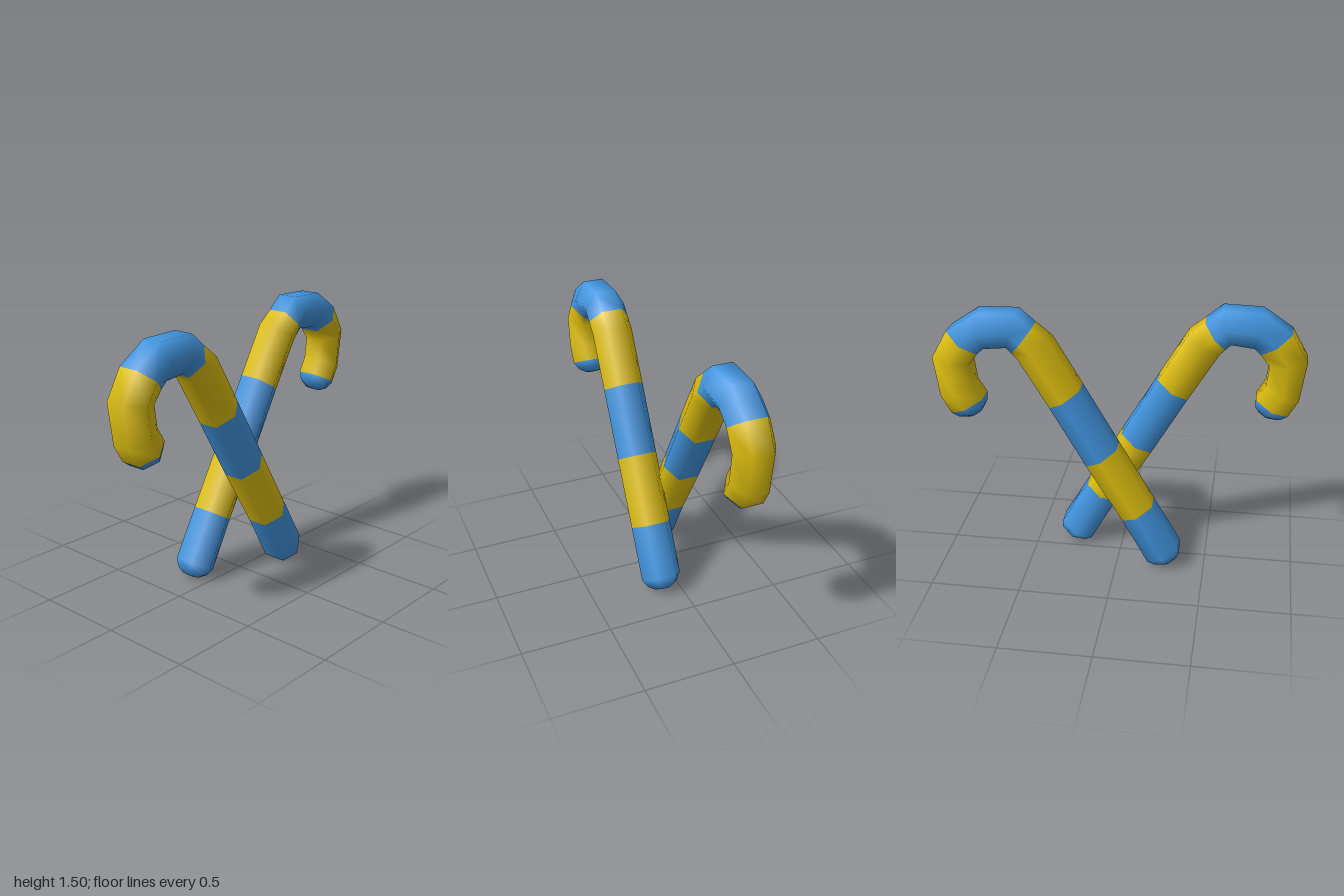
import * as THREE from 'three';

const blue = new THREE.MeshStandardMaterial({ color: 0x4296e0 });
blue.name = 'blue';
const yellow = new THREE.MeshStandardMaterial({ color: 0xdfc010 });
yellow.name = 'yellow';

const SIDES = 6;
const RADIUS = 0.116;

// Full-width rings from foot to hook end: outer z, outer y, inner z, inner y,
// and the colour (0 blue, 1 yellow) of the stretch that follows.
const STATIONS = [
  [-0.353, 0.135, -0.18, 0.035, 0],
  [-0.2, 0.4, -0.035, 0.3, 1],
  [0, 0.745, 0.168, 0.635, 0],
  [0.2, 1.09, 0.365, 0.98, 1],
  [0.358, 1.36, 0.53, 1.258, 1],
  [0.447, 1.432, 0.558, 1.288, 0],
  [0.535, 1.508, 0.588, 1.318, 0],
  [0.75, 1.502, 0.715, 1.304, 0],
  [0.91, 1.395, 0.75, 1.27, 1],
  [0.999, 1.24, 0.8, 1.205, 1],
  [0.968, 1.01, 0.785, 1.085, 1],
  [0.914, 0.915, 0.738, 1.005, 0],
];

// Rounded end: distance past the last full ring and scale of each smaller ring
const CAP = [[0.043, 0.78], [0.068, 0.44], [0.072, 0.24], [0.073, 0]];

function capRings(ring, sign) {
  const len = Math.hypot(ring.oz, ring.oy);
  return CAP.map(([d, s]) => ({
    z: ring.z + (sign * d * ring.oy) / len,
    y: ring.y - (sign * d * ring.oz) / len,
    oz: ring.oz * s, oy: ring.oy * s, s, colour: 0,
  }));
}

function caneGeometry() {
  const body = STATIONS.map(([zo, yo, zi, yi, colour]) => ({
    z: (zo + zi) / 2, y: (yo + yi) / 2,
    oz: (zo - zi) / 2, oy: (yo - yi) / 2, s: 1, colour,
  }));
  const foot = capRings(body[0], -1).reverse();
  foot[1].colour = 1; // small ring painted on the foot
  const rings = [...foot, ...body, ...capRings(body[body.length - 1], 1)];

  // Hexagonal cross-section on each ring
  const positions = [];
  for (const r of rings) {
    for (let k = 0; k < SIDES; k++) {
      const a = (k / SIDES) * Math.PI * 2;
      const h = Math.sin(a) / Math.sin(Math.PI / 3);
      positions.push(RADIUS * r.s * Math.cos(a), r.y + r.oy * h, r.z + r.oz * h);
    }
  }

  // Join the rings, sorting faces by colour
  const faces = [[], []];
  for (let i = 0; i < rings.length - 1; i++) {
    for (let k = 0; k < SIDES; k++) {
      const n = (k + 1) % SIDES;
      const a = i * SIDES + k, b = i * SIDES + n;
      const c = a + SIDES, d = b + SIDES;
      const gap = i === 1 && k === 4; // the foot ring is open on its underside
      faces[gap ? 0 : rings[i].colour].push(a, b, c, b, d, c);
    }
  }
  const g = new THREE.BufferGeometry();
  g.setAttribute('position', new THREE.Float32BufferAttribute(positions, 3));
  g.setIndex([...faces[0], ...faces[1]]);
  g.addGroup(0, faces[0].length, 0);
  g.addGroup(faces[0].length, faces[1].length, 1);
  g.computeVertexNormals();
  return g;
}

export function createModel() {
  const model = new THREE.Group();
  model.name = 'crossedCanes';
  const geometry = caneGeometry();

  // Two equal canes leaning opposite ways, side by side
  for (const side of [1, -1]) {
    const cane = new THREE.Mesh(geometry, [blue, yellow]);
    cane.name = side > 0 ? 'leftCane' : 'rightCane';
    cane.position.x = 0.104 * side;
    if (side < 0) cane.rotation.y = Math.PI;
    model.add(cane);
  }
  return model;
}
